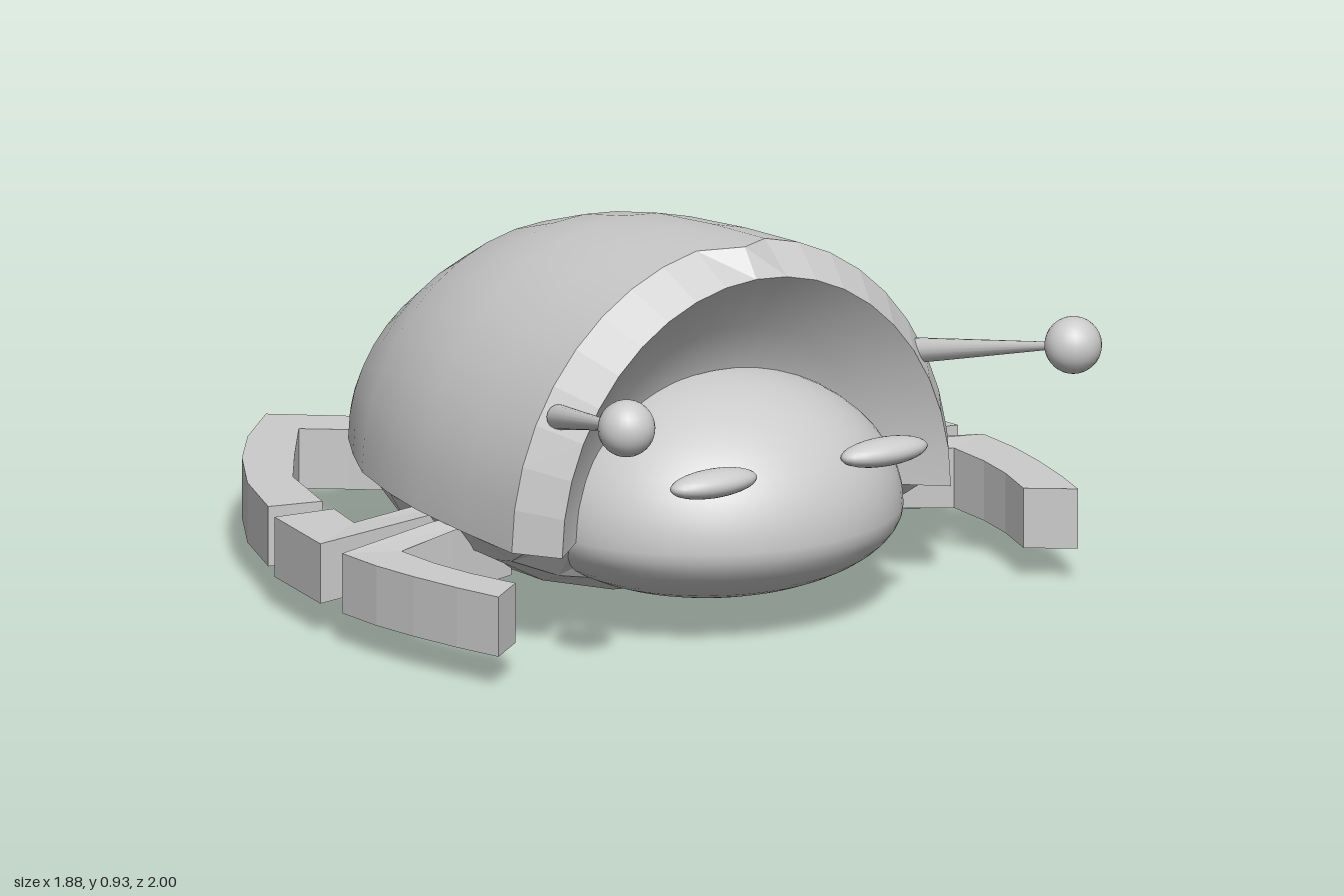
import * as THREE from 'three';

const grey = (extra = {}) => new THREE.MeshStandardMaterial({ color: 0xcccccc, ...extra });
const smooth = grey();
const open = grey({ side: THREE.DoubleSide });
const faceted = grey({ side: THREE.DoubleSide, flatShading: true });
const BASE = 0.25; // height of the shell's lower edge

// Surface through equally long rows of [x, y, z] points
function loft(rows) {
  const n = rows[0].length, index = [];
  for (let i = 0; i < rows.length - 1; i++) {
    for (let j = 0; j < n - 1; j++) {
      const a = i * n + j, b = a + n;
      index.push(a, a + 1, b, b, a + 1, b + 1);
    }
  }
  const geo = new THREE.BufferGeometry();
  geo.setAttribute('position', new THREE.Float32BufferAttribute(rows.flat(2), 3));
  geo.setIndex(index);
  geo.computeVertexNormals();
  return geo;
}

// Half-oval row; negative h hangs below the base, peak pushes its middle forward
function arc(z, w, h, n = 20, power = 1, peak = 0) {
  return Array.from({ length: n + 1 }, (_, i) => {
    const t = (Math.PI * i) / n;
    const y = BASE + h * Math.pow(Math.max(0, Math.sin(t)), power);
    return [w * Math.cos(t), y, z + (i === n / 2 ? peak : 0)];
  });
}

function add(parent, name, geo, mat) {
  const mesh = new THREE.Mesh(geo, mat);
  mesh.name = name;
  parent.add(mesh);
  return mesh;
}

// Leg outlines seen from above, as [distance from the middle, z]
const legs = {
  hindLeg: [[0.08, -0.744], [0.23, -0.87], [0.385, -1], [0.535, -0.86], [0.655, -0.71], [0.77, -0.52],
    [0.85, -0.315], [0.715, -0.28], [0.65, -0.5], [0.535, -0.66], [0.395, -0.845], [0.3, -0.77], [0.15, -0.644]],
  middleLeg: [[0.45, -0.09], [0.76, -0.08], [0.73, -0.21], [0.89, -0.23], [0.935, 0.03], [0.45, 0]],
  frontLeg: [[0.45, 0.055], [0.64, 0.08], [0.94, 0.13], [0.935, 0.27], [0.915, 0.4], [0.885, 0.54],
    [0.85, 0.665], [0.745, 0.585], [0.785, 0.45], [0.805, 0.33], [0.81, 0.195], [0.64, 0.17], [0.45, 0.14]],
};

function legGeometry(points, side, lift) {
  const shape = new THREE.Shape(points.map(([x, z]) => new THREE.Vector2(side * x, z)));
  const geo = new THREE.ExtrudeGeometry(shape, { depth: 0.15, bevelEnabled: false });
  geo.rotateX(Math.PI / 2).translate(0, 0.23, 0);
  // Raise the inner end slightly where it meets the body
  const p = geo.attributes.position;
  for (let i = 0; i < p.count; i++) {
    if (Math.abs(p.getX(i)) < 0.65) p.setY(i, p.getY(i) + lift);
  }
  geo.computeVertexNormals();
  return geo;
}

export function createModel() {
  const model = new THREE.Group();
  model.name = 'beetle';

  // Domed back tapering to a pointed tail: [z, half width, height]
  const shell = [[-1, 0.004, 0.002], [-0.88, 0.205, 0.135], [-0.78, 0.29, 0.25], [-0.65, 0.385, 0.375],
    [-0.52, 0.46, 0.465], [-0.38, 0.53, 0.545], [-0.2, 0.58, 0.605], [-0.03, 0.612, 0.64],
    [0.2, 0.632, 0.665], [0.42, 0.642, 0.68]];
  add(model, 'shell', loft(shell.map(([z, w, h], i) =>
    arc(z, w, h, 20, 1, i === shell.length - 1 ? 0.06 : 0))), open);

  // Bevelled front edge of the shell
  add(model, 'shellRim', loft([arc(0.42, 0.642, 0.68, 20, 1, 0.06), arc(0.53, 0.57, 0.61)]), faceted);

  // Hollow behind the rim, narrowing towards the head
  add(model, 'hollow', loft([[0.53, 1], [0.4, 0.75], [0.33, 0.5], [0.3, 0.01]]
    .map(([z, s]) => arc(z, 0.57 * s, 0.61 * s))), open);

  // Shallow faceted underside: [z, half width, depth]
  const belly = [[-1, 0.004, 0.002], [-0.88, 0.205, 0.1], [-0.65, 0.385, 0.185], [-0.18, 0.585, 0.25],
    [0.27, 0.633, 0.21], [0.34, 0.636, 0.165], [0.42, 0.642, 0.01]];
  add(model, 'belly', loft(belly.map(([z, w, d]) => arc(z, w, -d, 8, 1.3))), faceted);

  // Egg-shaped head, taller above its middle than below, cut flat at the back
  const head = new THREE.SphereGeometry(1, 32, 24, 0, Math.PI);
  const p = head.attributes.position;
  for (let i = 0; i < p.count; i++) {
    const y = p.getY(i);
    p.setXYZ(i, p.getX(i) * 0.47, 0.25 + y * (y > 0 ? 0.34 : 0.195), 0.35 + p.getZ(i) * 0.43);
  }
  head.computeVertexNormals();
  add(model, 'head', head, open);

  for (const side of [1, -1]) {
    const label = side > 0 ? 'left' : 'right';

    const eye = add(model, label + 'Eye', new THREE.SphereGeometry(1, 24, 16), smooth);
    eye.scale.set(0.123, 0.034, 0.052);
    eye.position.set(side * 0.25, 0.43, 0.71);

    // Tapered feeler with a ball at its tip
    const antenna = new THREE.Group();
    antenna.name = label + 'Antenna';
    model.add(antenna);
    const from = new THREE.Vector3(side * 0.525, 0.58, 0.45);
    const to = new THREE.Vector3(side * 0.655, 0.683, 0.927);
    const along = to.clone().sub(from);
    const stalk = add(antenna, 'stalk', new THREE.CylinderGeometry(0.006, 0.031, along.length(), 16), smooth);
    stalk.position.copy(from).addScaledVector(along, 0.5);
    stalk.quaternion.setFromUnitVectors(new THREE.Vector3(0, 1, 0), along.normalize());
    add(antenna, 'ball', new THREE.SphereGeometry(0.07, 24, 16), smooth).position.copy(to);

    for (const [name, points] of Object.entries(legs)) {
      add(model, label + name[0].toUpperCase() + name.slice(1),
        legGeometry(points, side, name === 'hindLeg' ? 0 : 0.02), smooth);
    }
  }
  return model;
}
